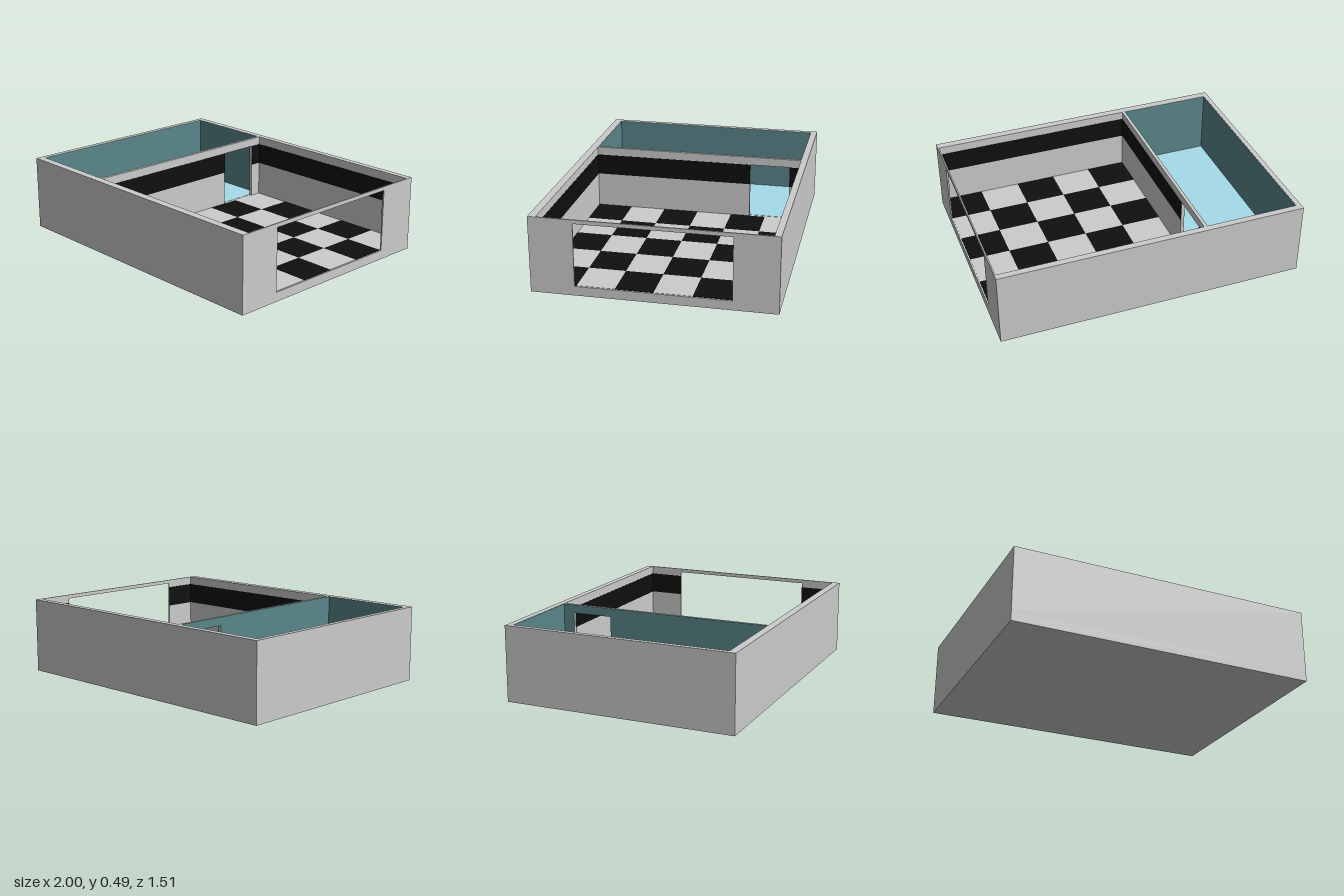
import * as THREE from 'three';

const H = 0.49, FLOOR = 0.06;          // wall top and floor level
const X = 1, Z = 0.757;                // outer half sizes
const BACK = -0.715, FRONT = 0.707;    // inner faces of back and front walls
const WEST = -0.967, PART_A = -0.355, PART_B = -0.335, EAST = 0.991;
const DOOR = [-0.64, -0.37, 0.435], GATE = [-0.48, 0.48, 0.465]; // z from, z to, top
const SKIN = 0.002;                    // thickness of paint and tiles

const mat = (color) => new THREE.MeshStandardMaterial({ color });

export function createModel() {
  const group = new THREE.Group();
  const grey = mat(0xcccccc), black = mat(0x0f0f0f), teal = mat(0x59868a), pale = mat(0xa6dbea);

  const add = (name, geometry, material) => {
    const mesh = new THREE.Mesh(geometry, material);
    mesh.name = name;
    group.add(mesh);
    return mesh;
  };
  // Box given by its limits on each axis
  const block = (name, x0, x1, y0, y1, z0, z1, material) =>
    add(name, new THREE.BoxGeometry(x1 - x0, y1 - y0, z1 - z0), material)
      .position.set((x0 + x1) / 2, (y0 + y1) / 2, (z0 + z1) / 2);
  // Wall across x0..x1 with an opening that reaches the floor
  const openWall = (name, x0, x1, z0, z1, [a, b, top], material) => {
    const outline = [[z0, FLOOR], [a, FLOOR], [a, top], [b, top], [b, FLOOR], [z1, FLOOR], [z1, H], [z0, H]];
    const shape = new THREE.Shape(outline.map(([z, y]) => new THREE.Vector2(z, y)));
    const geometry = new THREE.ExtrudeGeometry(shape, { depth: x1 - x0, bevelEnabled: false });
    add(name, geometry.rotateY(-Math.PI / 2).translate(x1, 0, 0), material);
  };

  // Shell
  block('base', -X, X, 0, FLOOR, -Z, Z, grey);
  block('backWall', -X, X, FLOOR, H, -Z, BACK, grey);
  block('frontWall', -X, X, FLOOR, H, FRONT, Z, grey);
  block('closedSideWall', -X, WEST, FLOOR, H, BACK, FRONT, grey);
  openWall('openSideWall', EAST, X, BACK, FRONT, GATE, grey);
  openWall('partition', PART_A, PART_B, BACK, FRONT, DOOR, grey);

  // Painted small room
  block('smallRoomFloor', WEST, PART_A, FLOOR, FLOOR + SKIN, BACK, FRONT, pale);
  block('smallRoomSidePaint', WEST, WEST + SKIN, FLOOR, H - SKIN, BACK, FRONT, teal);
  block('smallRoomBackPaint', WEST, PART_A, FLOOR, H - SKIN, BACK, BACK + SKIN, teal);
  block('smallRoomFrontPaint', WEST, PART_A, FLOOR, H - SKIN, FRONT - SKIN, FRONT, teal);
  openWall('smallRoomPartitionPaint', PART_A - SKIN, PART_A, BACK, FRONT, DOOR, teal);

  // Chequered floor of the large room
  const cols = 5, rows = 6, w = (EAST - PART_B) / cols, d = (FRONT - BACK) / rows;
  for (let r = 0; r < rows; r++) {
    for (let c = 0; c < cols; c++) {
      const x = PART_B + c * w, z = BACK + r * d;
      block('floorTile', x, x + w, FLOOR, FLOOR + SKIN, z, z + d, (r + c) % 2 ? black : grey);
    }
  }

  // Dark band around the large room, broken by the openings
  const band = (x0, x1, z0, z1) => block('wallBand', x0, x1, 0.295, 0.435, z0, z1, black);
  band(PART_B, EAST, BACK, BACK + SKIN);
  band(PART_B, EAST, FRONT - SKIN, FRONT);
  for (const [x, [a, b]] of [[PART_B, DOOR], [EAST - SKIN, GATE]]) {
    band(x, x + SKIN, BACK, a);
    band(x, x + SKIN, b, FRONT);
  }
  return group;
}
